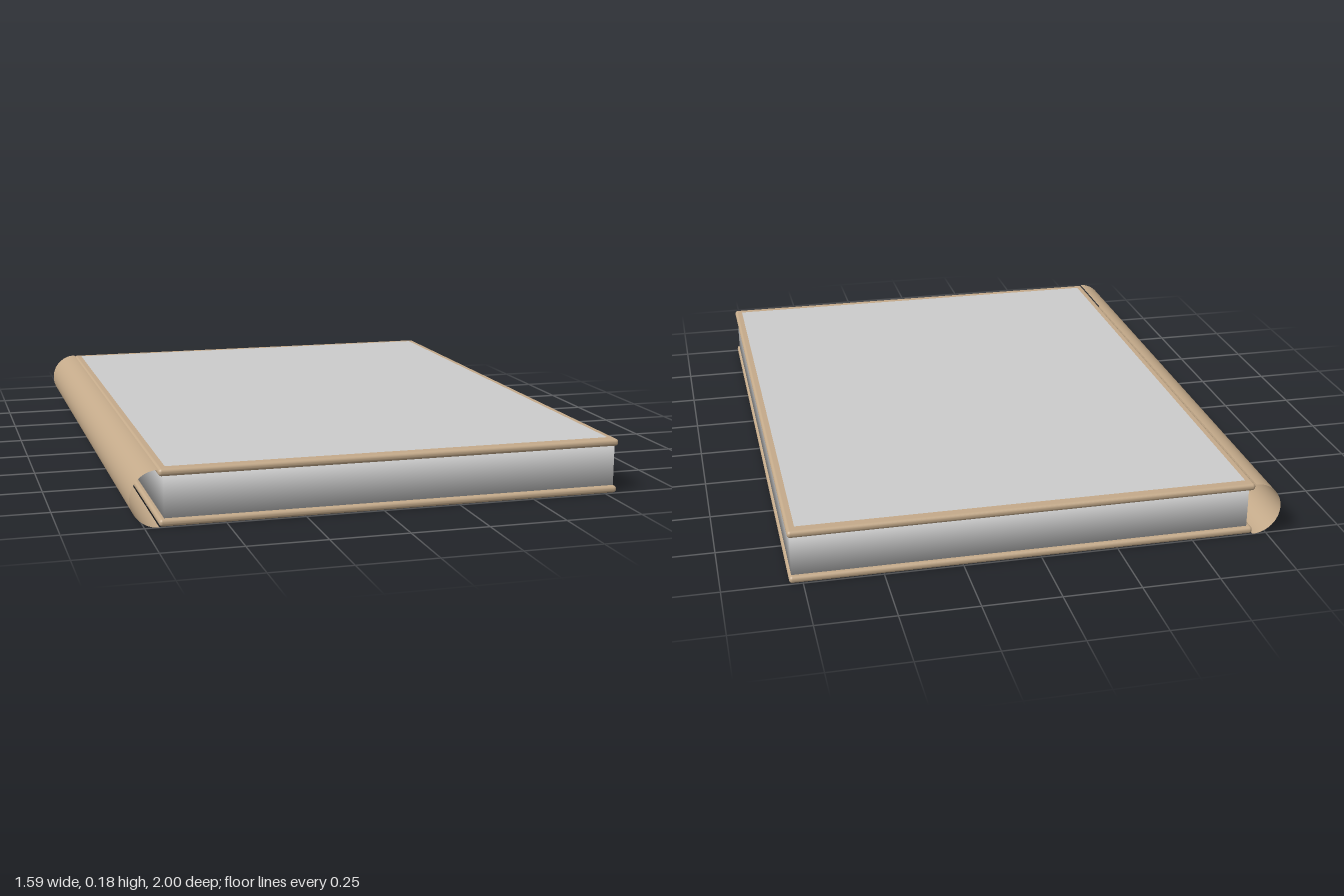
import * as THREE from 'three';
import { RoundedBoxGeometry } from 'three/addons/geometries/RoundedBoxGeometry.js';
import { mergeVertices } from 'three/addons/utils/BufferGeometryUtils.js';

const HEIGHT = 0.178, BOARD = 0.023;
const LEFT = -0.705, RIGHT = 0.792;

export function createModel() {
  const book = new THREE.Group();
  book.name = 'book';
  const grey = new THREE.MeshStandardMaterial({ color: 0xcccccc });
  const leather = new THREE.MeshStandardMaterial({ color: 0xc4aa8a });
  const spineLeather = leather.clone();
  spineLeather.side = THREE.DoubleSide;

  const add = (name, geometry, material, x, y, z = 0) => {
    const mesh = new THREE.Mesh(geometry, material);
    mesh.name = name;
    mesh.position.set(x, y, z);
    book.add(mesh);
    return mesh;
  };

  // Two cover boards with rounded edges
  const board = new RoundedBoxGeometry(RIGHT - LEFT, BOARD, 2, 4, 0.0105);
  const boardX = (LEFT + RIGHT) / 2;
  add('backCover', board, leather, boardX, BOARD / 2);
  add('frontCover', board, leather, boardX, HEIGHT - BOARD / 2);

  // Page block, with softly shaded shared corners
  let pages = new THREE.BoxGeometry(1.472, HEIGHT - 2 * BOARD + 0.004, 1.968);
  pages.deleteAttribute('normal');
  pages.deleteAttribute('uv');
  pages = mergeVertices(pages);
  pages.computeVertexNormals();
  add('pages', pages, grey, 0.048, HEIGHT / 2);

  // Grey panel inset on the front cover
  const panel = new THREE.PlaneGeometry(1.446, 1.932).rotateX(-Math.PI / 2);
  add('coverPanel', panel, grey, 0.043, HEIGHT + 0.0008);

  // Thin half-round spine, open at both ends and towards the pages
  const radius = HEIGHT / 2;
  const spine = new THREE.CylinderGeometry(radius, radius, 2, 32, 1, true, Math.PI, Math.PI);
  spine.rotateX(Math.PI / 2);
  add('spine', spine, spineLeather, LEFT, radius);

  return book;
}
